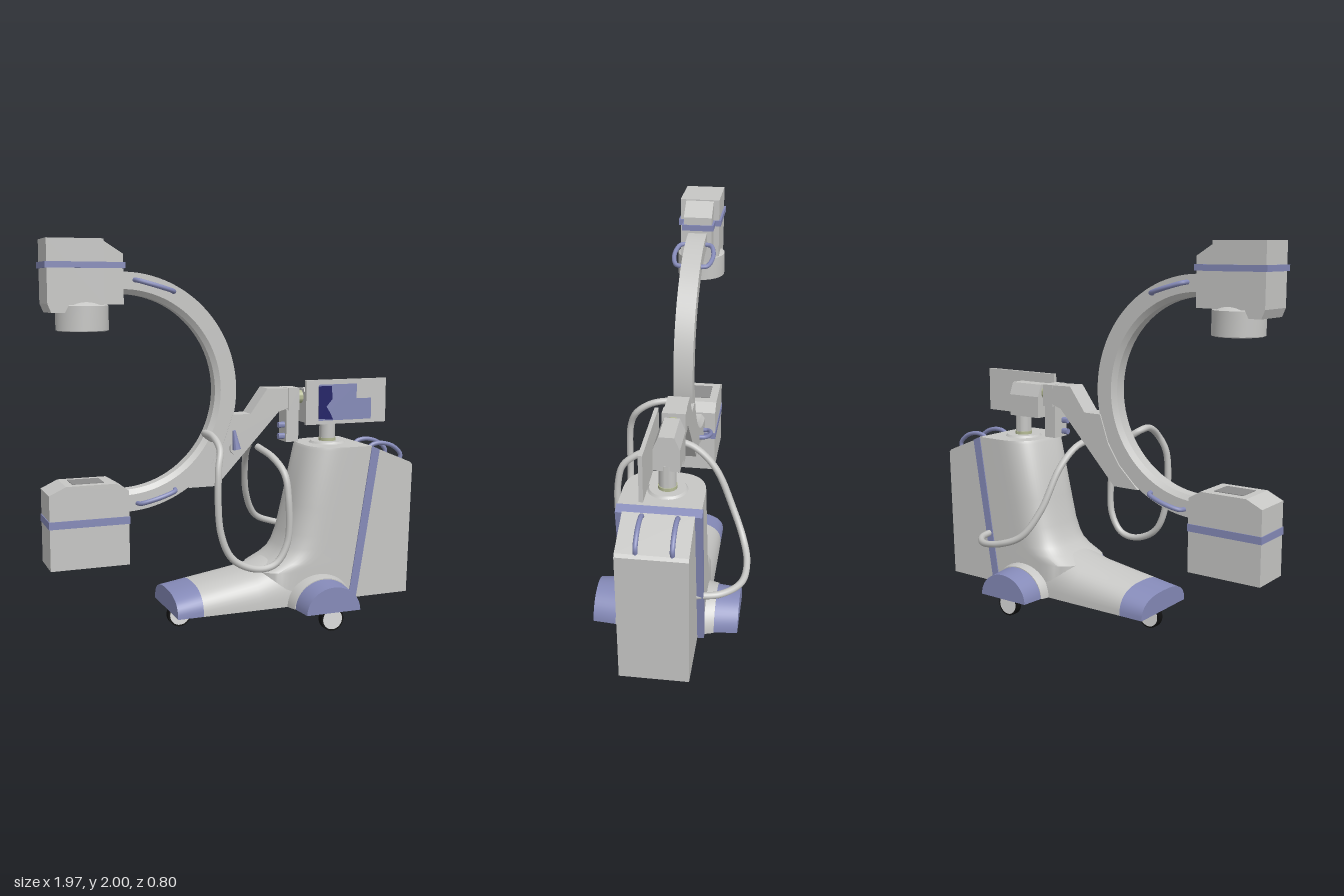
import * as THREE from 'three';
import { toCreasedNormals } from 'three/addons/utils/BufferGeometryUtils.js';

const material = (name, color) => Object.assign(new THREE.MeshStandardMaterial({ color }), { name });

export function createModel() {
  const model = new THREE.Group();
  model.name = 'mobileXrayMachine';
  const grey = material('casing grey', 0xc6c6c4);
  const blue = material('trim blue', 0x858ab8);
  const navy = material('screen navy', 0x1f1f66);
  const black = material('tyre black', 0x111111);
  const pale = material('hub pale grey', 0xdcdcdc);
  const green = material('joint green', 0xb4ba94);
  const dark = material('recess grey', 0x8c8c8c);
  const MID = 0.015; // the cart is slightly off the arm's plane

  const add = (name, geometry, mat, x = 0, y = 0, z = 0) => {
    const mesh = new THREE.Mesh(geometry, mat);
    mesh.name = name;
    mesh.position.set(x, y, z);
    model.add(mesh);
    return mesh;
  };
  const box = (name, mat, x0, x1, y0, y1, z0, z1) =>
    add(name, new THREE.BoxGeometry(x1 - x0, y1 - y0, z1 - z0), mat,
      (x0 + x1) / 2, (y0 + y1) / 2, (z0 + z1) / 2);
  // Side profile in x and y, extruded from z0 to z1
  const slab = (name, mat, pts, z0, z1) => {
    const shape = new THREE.Shape(pts.map(p => new THREE.Vector2(...p)));
    return add(name, new THREE.ExtrudeGeometry(shape, { depth: z1 - z0, bevelEnabled: false }), mat, 0, 0, z0);
  };
  const tube = (name, mat, pts, r, n = 60) => {
    const curve = new THREE.CatmullRomCurve3(pts.map(p => new THREE.Vector3(...p)));
    return add(name, new THREE.TubeGeometry(curve, n, r, 10), mat);
  };
  const cyl = (name, mat, rTop, rBottom, h, x, y, z) =>
    add(name, toCreasedNormals(new THREE.CylinderGeometry(rTop, rBottom, h, 32), 0.7), mat, x, y, z);

  // Skin closed rings of points, cap both ends and face outwards
  const loft = (name, mat, rings) => {
    const n = rings[0].length;
    const tris = [];
    const centre = ring => ring.reduce((s, p) => s.map((v, i) => v + p[i] / n), [0, 0, 0]);
    for (let i = 0; i < rings.length - 1; i++) {
      const a = rings[i], b = rings[i + 1];
      for (let j = 0; j < n; j++) {
        const k = (j + 1) % n;
        tris.push([a[j], a[k], b[k]], [a[j], b[k], b[j]]);
      }
    }
    const first = rings[0], last = rings[rings.length - 1];
    const c0 = centre(first), c1 = centre(last);
    for (let j = 0; j < n; j++) {
      const k = (j + 1) % n;
      tris.push([c0, first[k], first[j]], [c1, last[j], last[k]]);
    }
    const vec = p => new THREE.Vector3(...p);
    const volume = tris.reduce((s, t) => s + vec(t[0]).dot(vec(t[1]).cross(vec(t[2]))), 0);
    if (volume < 0) tris.forEach(t => t.reverse());
    const g = new THREE.BufferGeometry();
    g.setAttribute('position', new THREE.Float32BufferAttribute(tris.flat(2), 3));
    g.computeVertexNormals();
    return add(name, toCreasedNormals(g, 0.6), mat);
  };
  const steps = (n, f) => Array.from({ length: n + 1 }, (_, i) => f(i / n));
  const round = (v, e) => Math.sign(v) * Math.abs(v) ** e;

  // Front foot: arched sections along x
  const arch = (x, top, half = 0.205) => steps(24, t => {
    const a = t * Math.PI;
    return [x, 0.105 + (top - 0.105) * round(Math.sin(a), 0.8), MID + half * round(Math.cos(a), 0.75)];
  });
  loft('footTip', blue, [arch(-0.368, 0.213), arch(-0.23, 0.238)]);
  loft('foot', grey, [arch(-0.23, 0.238), arch(0.08, 0.292), arch(0.2, 0.335), arch(0.45, 0.36)]);

  // Column: sections with a rounded front, leaning back
  const back = y => 0.59 + 0.157 * (y - 0.105);
  const column = [[0.105, 0.1], [0.285, 0.1], [0.325, 0.18], [0.36, 0.228], [0.4, 0.255],
    [0.47, 0.283], [0.62, 0.319], [0.92, 0.388], [0.935, 0.398]];
  loft('column', grey, column.map(([y, front]) => steps(28, t => {
    const a = (t - 0.5) * Math.PI;
    return [front + 0.2 * (1 - round(Math.cos(a), 0.7)), y, MID + 0.2 * round(Math.sin(a), 0.7)];
  }).concat([[back(y), y, MID + 0.2], [back(y), y, MID - 0.2]])));

  // Rear cabinet and blue divider
  slab('divider', blue, [[0.59, 0.105], [0.635, 0.105], [0.765, 0.915], [0.72, 0.935]], MID - 0.205, MID + 0.205);
  slab('rearCabinet', grey, [[0.63, 0.105], [0.965, 0.105], [0.985, 0.815], [0.972, 0.83], [0.76, 0.918]],
    MID - 0.172, MID + 0.172);
  for (const z of [-0.08, 0.09]) {
    tube('cabinetHandle', blue, [[0.76, 0.895, z], [0.79, 0.92, z], [0.85, 0.927, z],
      [0.92, 0.905, z], [0.965, 0.86, z], [0.962, 0.825, z]], 0.012, 30);
  }

  // Side outriggers with blue fenders
  const fender = (z, r, h) => steps(24, t => {
    const a = t * Math.PI;
    return [0.42 + r * Math.cos(a), 0.105 + h * Math.sin(a), z];
  });
  for (const s of [-1, 1]) {
    const at = z => 0.02 + s * z;
    loft('outrigger', grey, [fender(at(0.1), 0.19, 0.16), fender(at(0.2), 0.185, 0.158), fender(at(0.255), 0.167, 0.15)]);
    loft('fender', blue, [fender(at(0.255), 0.163, 0.145), fender(at(0.375), 0.152, 0.135)]);
  }

  // Castors
  for (const [x, z] of [[-0.295, 0.003], [0.425, 0.35], [0.425, -0.292]]) {
    cyl('tyre', black, 0.063, 0.063, 0.036, x, 0.063, z).rotation.x = Math.PI / 2;
    cyl('hub', pale, 0.054, 0.054, 0.04, x, 0.063, z).rotation.x = Math.PI / 2;
    box('castorStem', grey, x - 0.012, x + 0.012, 0.09, 0.14, z - 0.01, z + 0.01);
  }

  // Post and swivel head
  cyl('postFlange', grey, 0.09, 0.1, 0.012, 0.56, 0.94, 0);
  cyl('postRing', green, 0.047, 0.047, 0.016, 0.56, 0.954, 0);
  cyl('post', grey, 0.043, 0.043, 0.14, 0.56, 1.01, 0);
  const head = slab('swivelHead', grey, [[-0.065, 1.055], [0.065, 1.055], [0.065, 1.17], [0.038, 1.235],
    [-0.038, 1.235], [-0.065, 1.17]], 0, 0.2);
  head.rotation.y = Math.PI / 2;
  head.position.x = 0.4;
  cyl('armJoint', green, 0.035, 0.035, 0.06, 0.385, 1.19, 0).rotation.z = Math.PI / 2;

  // Monitor
  box('monitor', grey, 0.393, 0.868, 1.045, 1.283, 0.066, 0.086);
  slab('screen', blue, [[0.465, 1.065], [0.778, 1.065], [0.778, 1.178], [0.69, 1.178], [0.69, 1.258],
    [0.465, 1.258]], 0.086, 0.089);
  slab('screenImage', navy, [[0.465, 1.075], [0.55, 1.07], [0.53, 1.11], [0.51, 1.14], [0.545, 1.18],
    [0.54, 1.25], [0.465, 1.25]], 0.089, 0.091);

  // Support arm, control box and brake lever
  slab('supportArm', grey, [[-0.25, 0.745], [-0.1, 0.745], [0.25, 1.12], [0.3, 1.135], [0.365, 1.135],
    [0.365, 1.24], [0.185, 1.245], [0.09, 1.115], [-0.01, 1.115], [-0.06, 0.97], [-0.13, 0.86]], -0.058, 0.052);
  box('armCollar', grey, 0.303, 0.368, 1.125, 1.243, -0.061, 0.056);
  box('controlBox', grey, 0.295, 0.365, 0.955, 1.13, -0.05, 0.05);
  for (const y of [0.985, 1.045]) {
    cyl('controlKnob', blue, 0.016, 0.016, 0.04, 0.28, y, 0.02).rotation.z = Math.PI / 2;
  }
  cyl('leverBase', grey, 0.034, 0.034, 0.02, 0.005, 0.94, 0.058).rotation.x = Math.PI / 2;
  cyl('brakeLever', blue, 0.008, 0.022, 0.1, -0.002, 0.985, 0.07).rotation.z = 0.15;

  // C-shaped arm: chamfered section swept round an arc
  const section = [[0.6, -0.05], [0.6, 0.05], [0.515, 0.05], [0.49, 0.03], [0.49, -0.03], [0.515, -0.05]];
  loft('cArm', grey, steps(56, t => {
    const a = (t - 0.5) * Math.PI * 1.02;
    return section.map(([r, z]) => [-0.59 + r * Math.cos(a), 1.245 + r * Math.sin(a), z]);
  }));
  for (const s of [-1, 1]) for (const v of [-1, 1]) {
    const y = d => 1.245 + v * d;
    tube('cArmHandle', blue, [[-0.525, y(0.56), s * 0.045], [-0.515, y(0.557), s * 0.08], [-0.46, y(0.541), s * 0.1],
      [-0.39, y(0.521), s * 0.1], [-0.335, y(0.505), s * 0.08], [-0.325, y(0.502), s * 0.045]], 0.012, 30);
  }

  // Upper head with collimator
  slab('upperHead', grey, [[-0.968, 2], [-0.968, 1.69], [-0.95, 1.647], [-0.885, 1.647], [-0.865, 1.685],
    [-0.69, 1.685], [-0.69, 2]], -0.105, 0.105);
  slab('upperNeck', grey, [[-0.7, 2], [-0.7, 1.685], [-0.588, 1.685], [-0.588, 1.93]], -0.075, 0.075);
  box('upperHeadBand', blue, -0.978, -0.68, 1.86, 1.89, -0.115, 0.115);
  box('upperNeckBand', blue, -0.69, -0.58, 1.86, 1.89, -0.085, 0.085);
  cyl('collimator', grey, 0.13, 0.13, 0.12, -0.78, 1.62, 0);
  cyl('collimatorShoulder', grey, 0.105, 0.13, 0.018, -0.78, 1.689, 0);
  cyl('collimatorFace', dark, 0.12, 0.12, 0.006, -0.78, 1.559, 0);

  // Lower detector housing
  slab('detector', grey, [[-0.985, 0.387], [-0.585, 0.387], [-0.585, 0.765], [-0.65, 0.805], [-0.9, 0.805],
    [-0.985, 0.765]], -0.11, 0.11);
  box('detectorBand', blue, -0.989, -0.581, 0.597, 0.635, -0.114, 0.114);
  box('detectorInset', dark, -0.86, -0.7, 0.803, 0.808, -0.065, 0.065);

  // Cables
  tube('frontCable', grey, [[-0.12, 0.99, 0.04], [-0.175, 1.03, 0.08], [-0.165, 1.025, 0.18], [-0.16, 0.97, 0.27],
    [-0.185, 0.87, 0.315], [-0.175, 0.56, 0.322], [-0.11, 0.42, 0.322], [0.02, 0.358, 0.322], [0.12, 0.375, 0.322],
    [0.185, 0.48, 0.322], [0.19, 0.72, 0.32], [0.182, 0.83, 0.29], [0.16, 0.9, 0.19], [0.13, 0.94, 0.05]], 0.018, 110);
  tube('rearCable', grey, [[0.11, 0.96, 0.04], [0.13, 0.93, -0.08], [0.155, 0.83, -0.19], [0.2, 0.62, -0.29],
    [0.28, 0.48, -0.355], [0.4, 0.425, -0.383], [0.54, 0.4, -0.365], [0.64, 0.395, -0.27], [0.67, 0.395, -0.15]], 0.018, 80);

  return model;
}
